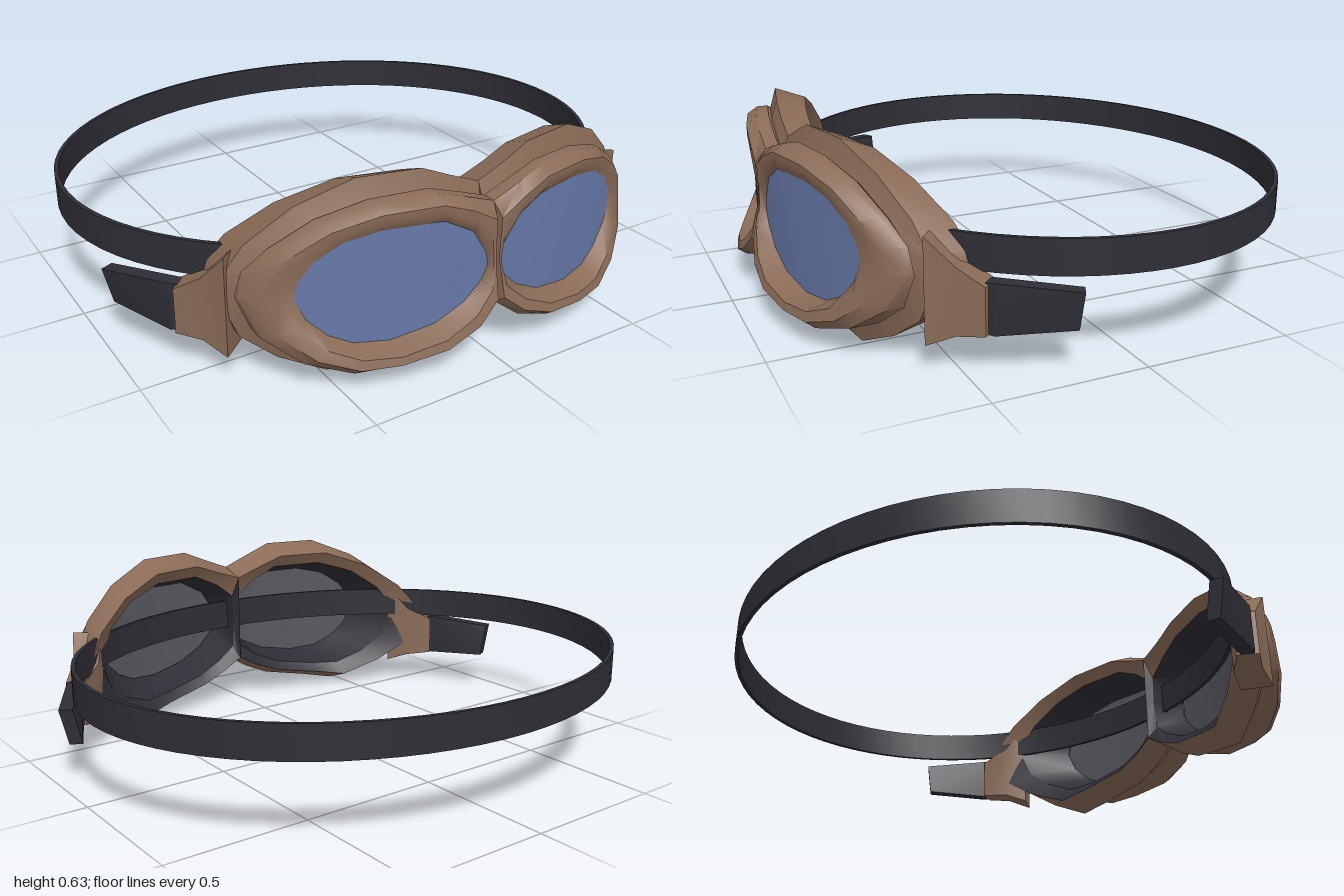
import * as THREE from 'three';
import { toCreasedNormals } from 'three/addons/utils/BufferGeometryUtils.js';

const mat = (name, color) => {
  const m = new THREE.MeshStandardMaterial({ color, side: THREE.DoubleSide });
  m.name = name;
  return m;
};

// Front outlines of one eye (x, y), all running inner top > outer > bottom > inner
const LENS = [[.03, .36], [.08, .44], [.18, .495], [.37, .50], [.48, .475], [.56, .42], [.60, .36], [.61, .31],
  [.58, .24], [.52, .18], [.45, .145], [.34, .135], [.20, .16], [.10, .21], [.04, .27], [.02, .315]];
const RIM = [[0, .515], [.10, .55], [.20, .58], [.38, .575], [.53, .53], [.65, .45], [.72, .38], [.74, .30],
  [.70, .19], [.60, .11], [.47, .07], [.35, .075], [.20, .09], [.08, .13], [0, .19], [0, .35]];
const RIDGE = [[0, .55], [.10, .59], [.20, .632], [.40, .632], [.57, .56], [.70, .45], [.755, .36], [.77, .28],
  [.72, .15], [.62, .07], [.48, .005], [.36, .03], [.18, .065], [.08, .11], [0, .16], [0, .35]];

// Depth of each layer, bent around the face
const lensZ = (x) => .87 - .36 * x * x;
const frontZ = (x, y) => .885 - .4 * x * x + Math.max(0, .31 - y) * .3;
const ridgeZ = (x) => .78 - .35 * x * x;
const backZ = (x) => .68 - .4 * x * x;

const mix = (a, b, t) => a.map((p, i) => p.map((v, k) => v + (b[i][k] - v) * t));
const lift = (loop, z) => loop.map(([x, y]) => [x, y, z(x, y)]);

// Skins a series of closed loops; from/to limit it to part of the way round
function skin(loops, side, { from = 0, to = loops[0].length, flip = false, crease = .7 } = {}) {
  const n = loops[0].length, pos = [], idx = [];
  loops.forEach((l) => l.forEach(([x, y, z]) => pos.push(x * side, y, z)));
  for (let i = 0; i < loops.length - 1; i++) {
    for (let j = from; j < to; j++) {
      const k = (j + 1) % n;
      const a = i * n + j, b = i * n + k, c = a + n, d = b + n;
      if ((side < 0) !== flip) idx.push(a, d, b, a, c, d);
      else idx.push(a, b, d, a, d, c);
    }
  }
  const g = new THREE.BufferGeometry();
  g.setAttribute('position', new THREE.Float32BufferAttribute(pos, 3));
  g.setIndex(idx);
  g.computeVertexNormals();
  return toCreasedNormals(g, crease);
}

// Closes both ends of a loft by shrinking the end loops to a point
function capped(loops) {
  const centre = (l) => {
    const c = [0, 1, 2].map((k) => l.reduce((s, p) => s + p[k], 0) / l.length);
    return l.map(() => c);
  };
  return [centre(loops[0]), ...loops, centre(loops[loops.length - 1])];
}

// Upright four-cornered section between two plan points
const section = ([x0, z0], [x1, z1], y0, y1, lean = 0) =>
  [[x0 - lean, y0, z0], [x0, y1, z0], [x1, y1, z1], [x1 - lean, y0, z1]];

export function createModel() {
  const model = new THREE.Group();
  const leather = mat('brown leather', 0x8a6b57);
  const rubber = mat('dark rubber', 0x2e2e36);
  const glass = mat('blue glass', 0x6678a8);
  const glassBack = mat('grey glass back', 0x56585f);

  const add = (parent, name, geometry, material) => {
    const m = new THREE.Mesh(geometry, material);
    m.name = name;
    parent.add(m);
  };

  // Layers of the frame from the lens edge round to the back
  const back = RIDGE.map(([x, y]) => [x, y + (.31 - y) * .13]);
  const pad = mix(back, LENS, .5);
  const edge = lift(LENS, lensZ);
  const crestIn = lift(mix(LENS, RIM, .3), (x, y) => frontZ(x, y) + .005);
  const crestOut = lift(mix(LENS, RIM, .7), (x, y) => frontZ(x, y) + .005);
  const rimFront = lift(RIM, (x, y) => frontZ(x, y) - .03);
  const rimBack = lift(RIM, (x) => ridgeZ(x) + .03);
  const groove = lift(mix(RIM, LENS, .12), (x) => ridgeZ(x) + .02);
  const ridge = lift(RIDGE, ridgeZ);
  const backEdge = lift(back, backZ);
  const padEdge = lift(pad, (x) => backZ(x) + .03);
  const padInner = lift(LENS, (x) => lensZ(x) - .02);

  // Curved lens as rings growing from its middle
  const middle = LENS.map(() => [.3, .32]);
  const lensRings = (dz) => [0, .35, .7, 1.02].map((t) =>
    lift(mix(middle, LENS, t), (x) => lensZ(x) + dz));

  for (const side of [1, -1]) {
    const eye = new THREE.Group();
    eye.name = side > 0 ? 'leftEyepiece' : 'rightEyepiece';
    model.add(eye);

    add(eye, 'lens', skin(lensRings(0), side), glass);
    add(eye, 'lensBack', skin(lensRings(-.012), side, { flip: true }), glassBack);
    add(eye, 'frontRim', skin([edge, crestIn, crestOut, rimFront, rimBack], side), leather);
    add(eye, 'groove', skin([rimBack, groove], side, { from: 4, to: 7 }), rubber);
    add(eye, 'upperGroove', skin([rimBack, groove], side, { to: 4 }), leather);
    add(eye, 'lowerGroove', skin([rimBack, groove], side, { from: 7 }), leather);
    add(eye, 'flange', skin([groove, ridge, backEdge], side), leather);
    add(eye, 'upperBack', skin([backEdge, padEdge], side, { to: 6 }), leather);
    add(eye, 'lowerPadding', skin([backEdge, padEdge], side, { from: 6 }), rubber);
    add(eye, 'innerPadding', skin([padEdge, padInner], side), rubber);

    // Tapered lug that holds the short strap
    add(eye, 'lug', skin(capped([
      section([.76, .60], [.68, .53], .09, .42),
      section([.80, .52], [.73, .46], .12, .33),
      section([.86, .455], [.815, .40], .13, .28),
    ]), side, { crease: .5 }), leather);

    // Short strap end behind the lug
    add(eye, 'strapEnd', skin(capped([
      section([.725, .525], [.70, .505], .13, .27),
      section([.865, .43], [.825, .405], .13, .29),
      section([.99, .21], [.95, .19], .145, .27, .03),
    ]), side, { crease: .4 }), rubber);
  }

  // Head strap: a thin oval band
  const profile = [[.998, .30], [.998, .412], [.983, .412], [.983, .30], [.998, .30]]
    .map(([r, y]) => new THREE.Vector2(r, y));
  const band = new THREE.LatheGeometry(profile, 72);
  band.scale(1, 1, .845);
  band.translate(0, 0, -.08);
  add(model, 'headStrap', toCreasedNormals(band, .6), rubber);

  return model;
}
